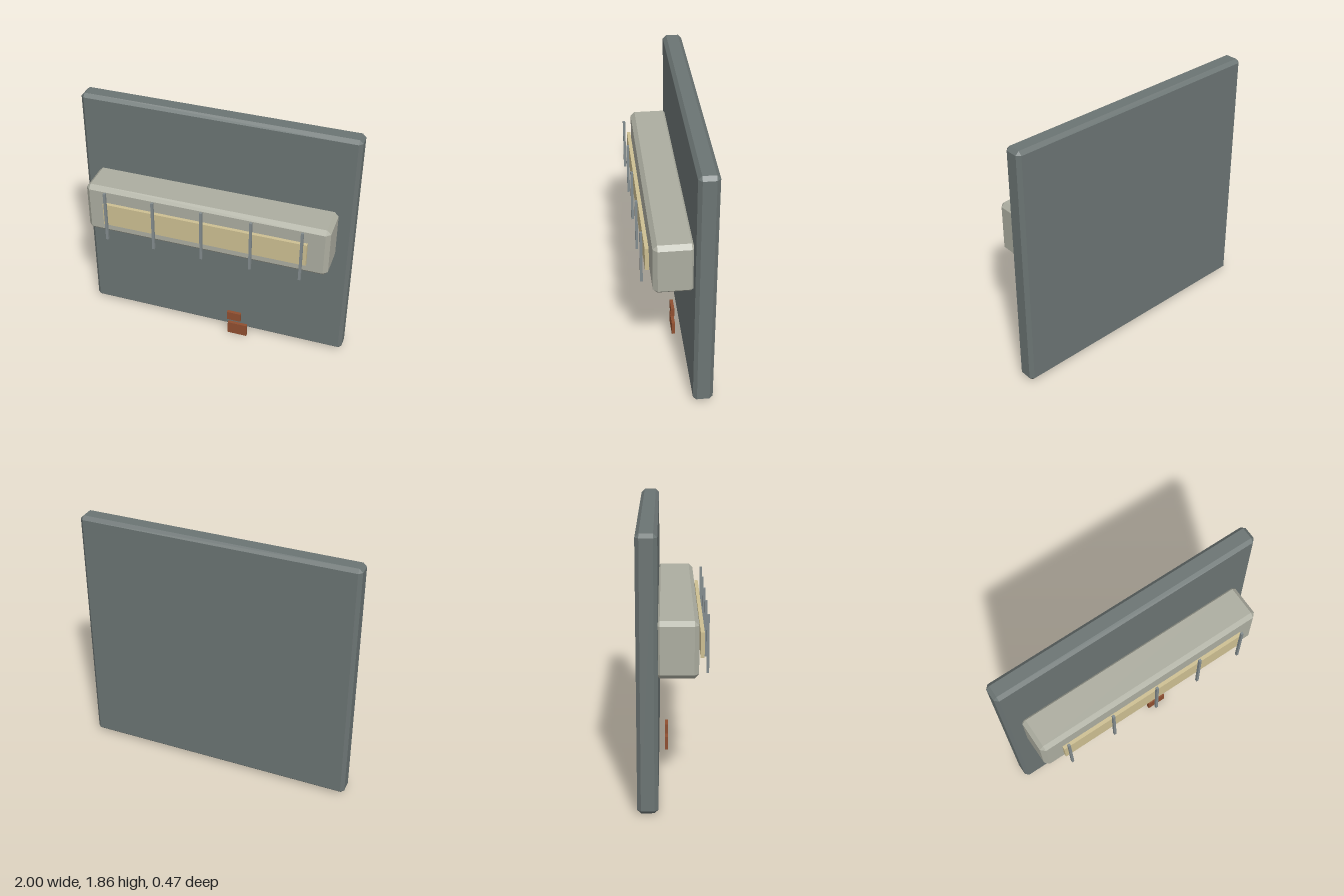
import * as THREE from 'three';
import { ConvexGeometry } from 'three/addons/geometries/ConvexGeometry.js';

const material = (color) => new THREE.MeshStandardMaterial({ color, flatShading: true });

// Box with every edge cut by a single flat chamfer
function chamferedBox(w, h, d, c) {
  const points = [];
  for (const sx of [-1, 1]) for (const sy of [-1, 1]) for (const sz of [-1, 1]) {
    const x = sx * w / 2, y = sy * h / 2, z = sz * d / 2;
    points.push(
      new THREE.Vector3(x, y - sy * c, z - sz * c),
      new THREE.Vector3(x - sx * c, y, z - sz * c),
      new THREE.Vector3(x - sx * c, y - sy * c, z));
  }
  return new ConvexGeometry(points);
}

export function createModel() {
  const model = new THREE.Group();
  model.name = 'wallLamp';

  // Adds a block spanning the given [min, max] ranges
  function block(name, mat, [x0, x1], [y0, y1], [z0, z1], chamfer = 0) {
    const size = [x1 - x0, y1 - y0, z1 - z0];
    const geometry = chamfer ? chamferedBox(...size, chamfer) : new THREE.BoxGeometry(...size);
    const mesh = new THREE.Mesh(geometry, mat);
    mesh.name = name;
    mesh.position.set((x0 + x1) / 2, (y0 + y1) / 2, (z0 + z1) / 2);
    model.add(mesh);
  }

  const slate = material(0x6b7473);
  const stone = material(0xacada0);
  const cream = material(0xcdbf92);
  const steel = material(0x838c8e);
  const rust = material(0x8f4f30);

  // Wall panel and the housing set into it
  block('wallPanel', slate, [-1, 1], [0.015, 1.855], [-0.235, -0.097], 0.025);
  block('lampHousing', stone, [-0.89, 0.89], [0.9, 1.28], [-0.115, 0.165], 0.03);

  // Light strip in front of the housing
  block('lightStrip', cream, [-0.745, 0.745], [1.0, 1.172], [0.178, 0.204]);

  // Guard bars
  for (let i = -2; i <= 2; i++) {
    const x = i * 0.357;
    block('guardBar', steel, [x - 0.009, x + 0.009], [0.89, 1.285], [0.217, 0.235]);
  }

  // Rust chips near the foot of the panel
  block('upperRustChip', rust, [0.115, 0.222], [0.132, 0.203], [-0.055, -0.031]);
  block('lowerRustChip', rust, [0.123, 0.272], [0, 0.1], [-0.055, -0.031]);

  return model;
}
